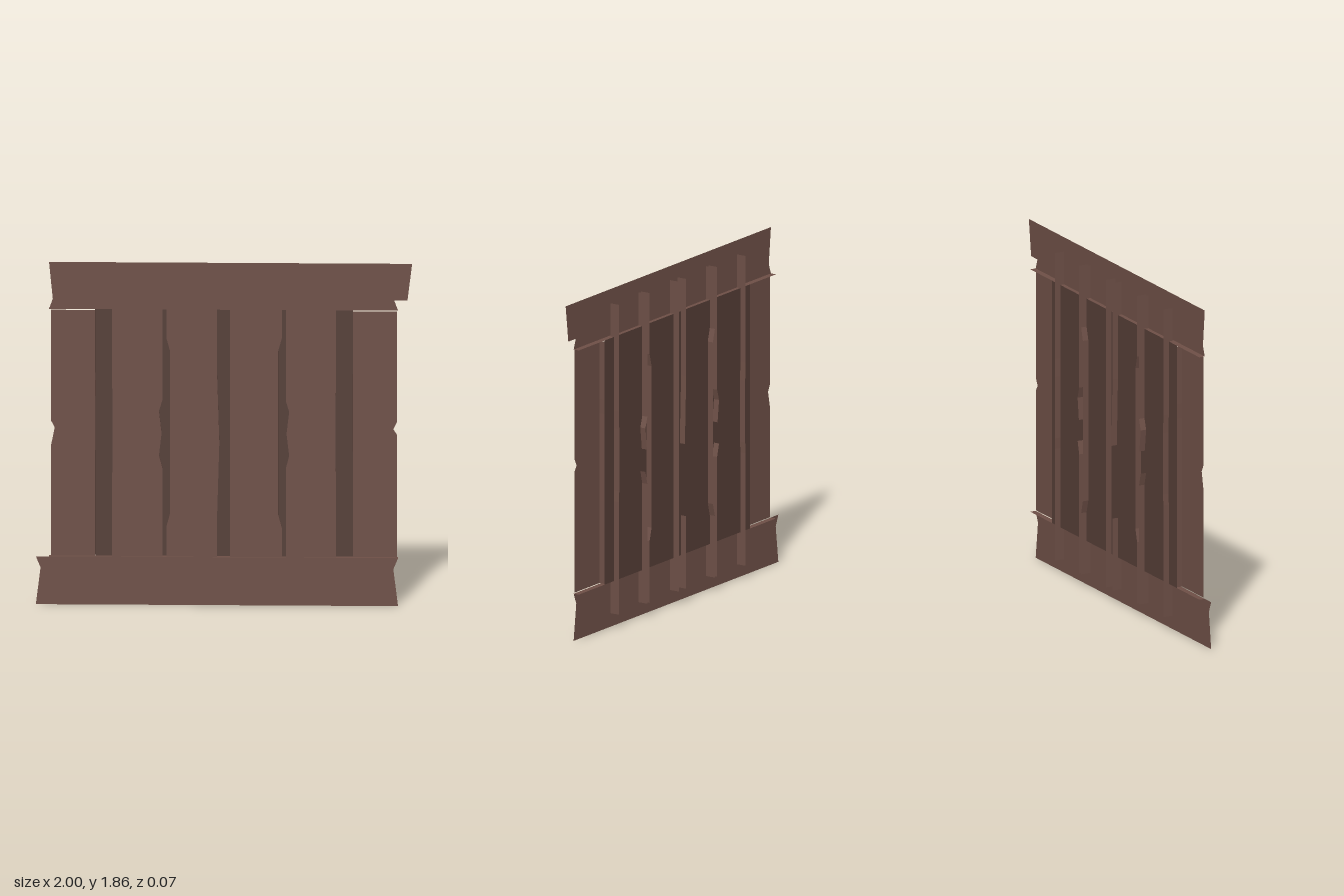
import * as THREE from 'three';

const wood = new THREE.MeshStandardMaterial({ color: 0x6d4f46, side: THREE.DoubleSide, flatShading: true });
const darkWood = new THREE.MeshStandardMaterial({ color: 0x543d36, side: THREE.DoubleSide, flatShading: true });

const FRONT = 0.03;        // face of rails and end panels
const MID = -0.003;        // dark backing panel
const PLANK = 0.02;        // face of the planks
const BACK = -0.036;       // rear edge of the plank sides

// Flat sheet facing +z; points are [x, y] or [x, y, z]
function sheet(name, points, z, material = wood) {
  const geometry = new THREE.ShapeGeometry(new THREE.Shape(points.map(([x, y]) => new THREE.Vector2(x, y))));
  const pos = geometry.attributes.position;
  for (let i = 0; i < pos.count; i++) {
    const p = points.find(([x, y]) => Math.hypot(x - pos.getX(i), y - pos.getY(i)) < 1e-4);
    pos.setZ(i, p && p[2] !== undefined ? p[2] : z);
  }
  geometry.computeVertexNormals();
  const mesh = new THREE.Mesh(geometry, material);
  mesh.name = name;
  return mesh;
}

// Strip running along a path, from the front depth back to zBack; the skipped span is left open
function strip(name, path, zFront, zBack, skip = -1) {
  const v = [];
  for (let i = 0; i < path.length - 1; i++) {
    if (i === skip) continue;
    const [ax, ay, az = zFront] = path[i], [bx, by, bz = zFront] = path[i + 1];
    v.push(ax, ay, az, bx, by, bz, bx, by, zBack, ax, ay, az, bx, by, zBack, ax, ay, zBack);
  }
  const geometry = new THREE.BufferGeometry();
  geometry.setAttribute('position', new THREE.Float32BufferAttribute(v, 3));
  geometry.computeVertexNormals();
  const mesh = new THREE.Mesh(geometry, wood);
  mesh.name = name;
  return mesh;
}

// Plank between two edge paths, both listed bottom to top
function plank(name, left, right, skipLeft, skipRight) {
  const group = new THREE.Group();
  group.name = name;
  group.add(
    sheet(name + 'Face', [...left, ...right.slice().reverse()], PLANK),
    strip(name + 'LeftSide', left, PLANK, BACK, skipLeft),
    strip(name + 'RightSide', right, PLANK, BACK, skipRight)
  );
  return group;
}

export function createModel() {
  const model = new THREE.Group();
  model.name = 'plankWall';

  // Rails with broken ends
  model.add(
    sheet('topRail', [[-0.93, 1.86], [-0.91, 1.66], [-0.93, 1.605], [0.925, 1.605],
      [0.905, 1.66], [0.975, 1.66], [1, 1.86]], FRONT),
    sheet('bottomRail', [[-1, 0], [0.925, 0], [0.9, 0.2], [0.925, 0.26], [-1, 0.26], [-0.975, 0.2]], FRONT)
  );

  // Inner ledges of the rails
  model.add(
    strip('topLedge', [[-0.93, 1.605], [0.925, 1.605]], FRONT, MID),
    strip('bottomLedge', [[-0.93, 0.26], [0.925, 0.26]], FRONT, MID)
  );

  // Dark backing seen through the gaps
  model.add(sheet('backingPanel', [[-0.685, 0.26], [0.685, 0.26], [0.685, 1.605], [-0.685, 1.605]], MID, darkWood));

  // End panels with a notch outside and a slight bulge inside
  for (const s of [-1, 1]) {
    const z = FRONT - 0.002;
    const inner = [[s * 0.685, 0.265], [s * 0.685, 0.72], [s * 0.682, 1.2, 0.036], [s * 0.685, 1.28], [s * 0.685, 1.6]];
    const outer = [[s * 0.92, 1.6], [s * 0.92, 1], [s * 0.9, 0.96], [s * 0.92, s < 0 ? 0.86 : 0.93], [s * 0.92, 0.265]];
    const side = s < 0 ? 'right' : 'left';
    model.add(sheet(side + 'EndPanel', [...inner, ...outer], z), strip(side + 'EndPanelSide', inner, z, MID));
  }

  // Planks: worn edges share the same profile on both sides
  const y0 = 0.08, y1 = 1.787;
  const outerEdge = (s) => [[s * 0.595, y0], [s * 0.595, 0.7], [s * 0.592, 0.76], [s * 0.592, 1.1], [s * 0.595, 1.2], [s * 0.595, y1]];
  const wavyEdge = (s) => [[s * 0.328, y0], [s * 0.328, 0.74], [s * 0.346, 0.81], [s * 0.332, 0.93],
    [s * 0.346, 1.05], [s * 0.328, 1.11], [s * 0.328, y1]];
  const wornEdge = (s) => [[s * 0.307, y0], [s * 0.307, 0.42], [s * 0.288, 0.49], [s * 0.288, 1.38],
    [s * 0.307, 1.45], [s * 0.307, y1]];
  const middleRight = [[-0.037, y0], [-0.037, 0.48], [-0.025, 0.88], [-0.037, 1.25], [-0.037, y1]];
  const middleLeft = [[0.032, y0], [0.032, y1]];

  model.add(
    plank('outerRightPlank', outerEdge(-1), wavyEdge(-1), -1, 2),
    plank('innerRightPlank', wornEdge(-1), middleRight, -1, 1),
    plank('innerLeftPlank', middleLeft, wornEdge(1)),
    plank('outerLeftPlank', wavyEdge(1), outerEdge(1), 2, -1)
  );

  return model;
}
